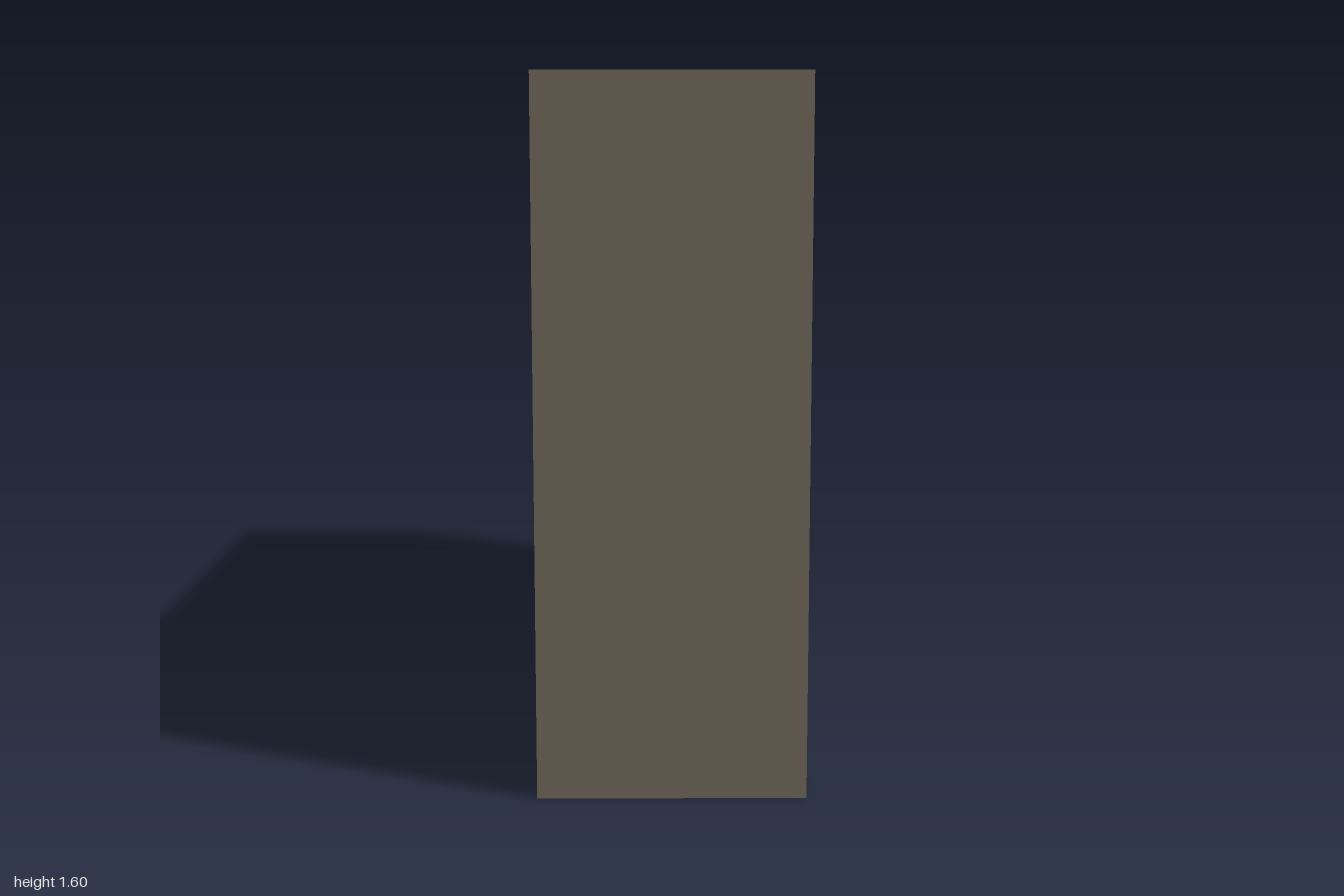
import * as THREE from 'three';

const WIDTH = 0.6, HEIGHT = 1.6, LENGTH = 2, NICHE_DEPTH = 0.5;

// Axis-aligned rectangle outline
function rectangle(PathType, left, bottom, right, top) {
  return new PathType([
    new THREE.Vector2(left, bottom), new THREE.Vector2(right, bottom),
    new THREE.Vector2(right, top), new THREE.Vector2(left, top),
  ]);
}

export function createModel() {
  const model = new THREE.Group();
  model.name = 'cabinetBlock';
  const taupe = new THREE.MeshStandardMaterial({ color: 0x72695d });
  taupe.name = 'taupe';

  // Body with two open niches on the +x side
  const outline = rectangle(THREE.Shape, -LENGTH / 2, 0, LENGTH / 2, HEIGHT);
  outline.holes.push(
    rectangle(THREE.Path, -0.975, 0.025, -0.2, 0.525),
    rectangle(THREE.Path, 0.2, 0.025, 0.975, 0.525),
  );
  const bodyGeometry = new THREE.ExtrudeGeometry(outline, { depth: NICHE_DEPTH, bevelEnabled: false });
  bodyGeometry.rotateY(Math.PI / 2);
  const body = new THREE.Mesh(bodyGeometry, taupe);
  body.name = 'bodyWithNiches';
  body.position.x = WIDTH / 2 - NICHE_DEPTH;

  // Solid wall closing the niches on the -x side
  const wallThickness = WIDTH - NICHE_DEPTH;
  const wall = new THREE.Mesh(new THREE.BoxGeometry(wallThickness, HEIGHT, LENGTH), taupe);
  wall.name = 'closedWall';
  wall.position.set(-WIDTH / 2 + wallThickness / 2, HEIGHT / 2, 0);

  model.add(body, wall);
  return model;
}
